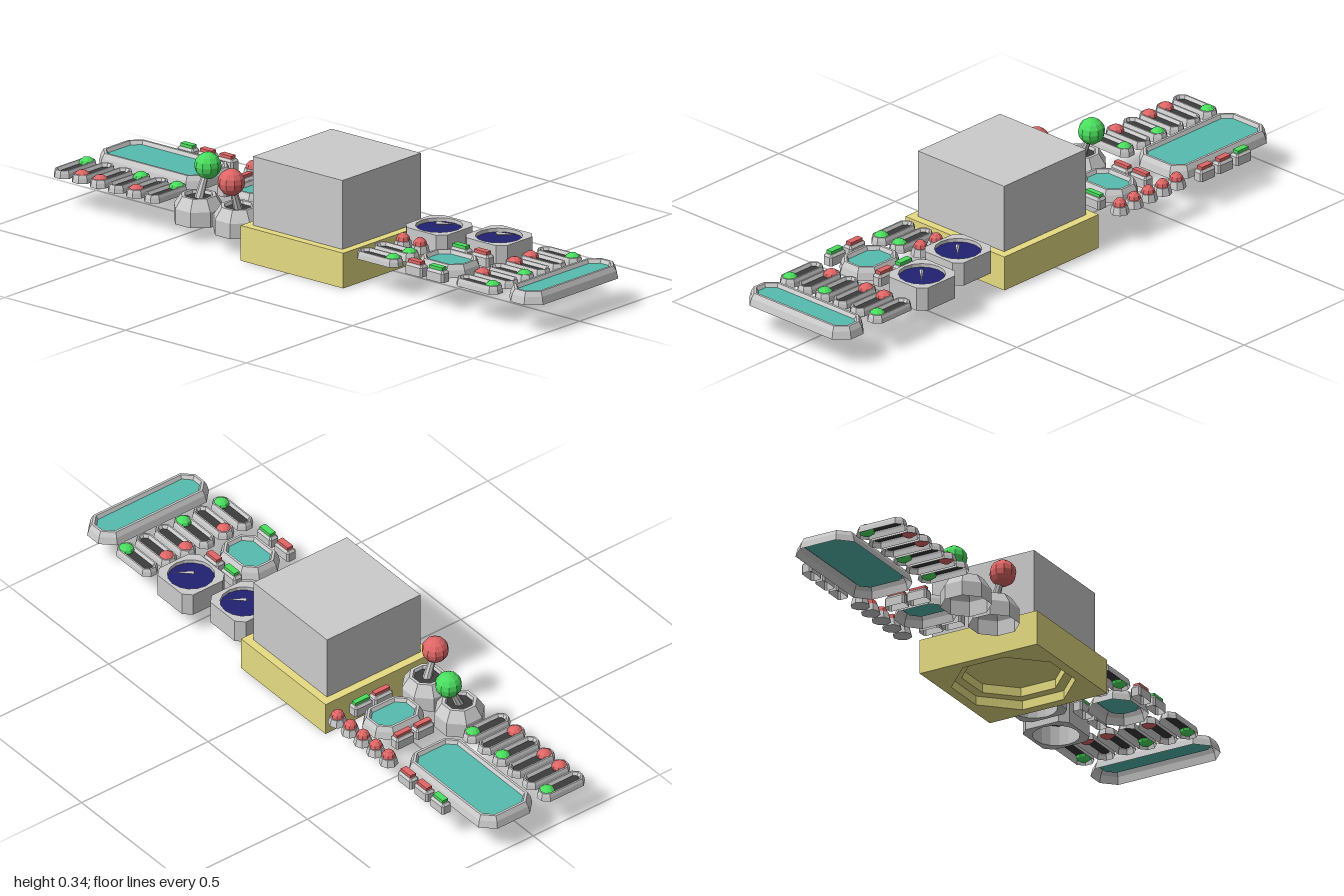
import * as THREE from 'three';

const mat = (color) => new THREE.MeshStandardMaterial({ color, flatShading: true, side: THREE.DoubleSide });
const GREY = mat(0xcccccc), YELLOW = mat(0xe6dc82), TEAL = mat(0x55bbae), NAVY = mat(0x202072),
  GREEN = mat(0x4ade5e), RED = mat(0xe06666), DARK = mat(0x3c3c3c);

function add(parent, name, geo, material, x = 0, y = 0, z = 0) {
  const m = new THREE.Mesh(geo, material);
  m.name = name;
  m.position.set(x, y, z);
  parent.add(m);
  return m;
}

function group(parent, name, x = 0, y = 0, z = 0) {
  const g = new THREE.Group();
  g.name = name;
  g.position.set(x, y, z);
  parent.add(g);
  return g;
}

// Corners of a rectangle with cut corners, counter-clockwise seen from above
function cutRect(w, d, c) {
  const a = w / 2, b = d / 2;
  return [[a, b - c], [a, c - b], [a - c, -b], [c - a, -b], [-a, c - b], [-a, b - c], [c - a, b], [a - c, b]];
}

// Skin a stack of cut-corner sections [inset, y]; optionally close the last one
function loft(w, d, c, sections, cap = false) {
  const rings = sections.map(([i, y]) =>
    cutRect(w - 2 * i, d - 2 * i, Math.max(c - i * 0.586, 0.002)).map(([x, z]) => [x, y, z]));
  const pos = [];
  const tri = (p, q, r) => pos.push(...p, ...q, ...r);
  for (let k = 0; k + 1 < rings.length; k++) {
    for (let j = 0; j < 8; j++) {
      const n = (j + 1) % 8, A = rings[k], B = rings[k + 1];
      tri(A[j], A[n], B[n]);
      tri(A[j], B[n], B[j]);
    }
  }
  if (cap) {
    const T = rings[rings.length - 1];
    for (let j = 1; j < 7; j++) tri(T[0], T[j], T[j + 1]);
  }
  const geo = new THREE.BufferGeometry();
  geo.setAttribute('position', new THREE.Float32BufferAttribute(pos, 3));
  geo.computeVertexNormals();
  return geo;
}

// Open bevelled frame around a recessed plate
function framedPanel(parent, name, x, z, w, d, c, y0, y1, bevel, rim, drop, color) {
  const g = group(parent, name, x, 0, z);
  const inner = bevel + rim + 0.006;
  add(g, 'frame', loft(w, d, c, [[0, y0], [bevel * 0.4, y0 + (y1 - y0) * 0.6], [bevel, y1], [bevel + rim, y1], [inner, y1 - drop]]), GREY);
  add(g, 'plate', loft(w, d, c, [[inner, y1 - drop]], true), color);
  return g;
}

const screen = (parent, x, z, w, d, y1 = 0.135) =>
  framedPanel(parent, 'screen', x, z, w, d, 0.042, 0.095, y1, 0.014, 0.008, 0.012, TEAL);

// Slot with a sliding knob; side is -1 or 1 along its length
function slider(parent, x, z, alongX, side, color) {
  const L = 0.172, W = 0.064;
  const g = framedPanel(parent, 'slider', x, z, alongX ? L : W, alongX ? W : L, 0.02, 0.1, 0.125, 0.006, 0.005, 0.01, DARK);
  const o = side * 0.054;
  const knob = add(g, 'sliderKnob', new THREE.SphereGeometry(0.026, 8, 6), color, alongX ? o : 0, 0.117, alongX ? 0 : o);
  knob.scale.y = 0.75;
}

function rectButton(parent, x, z, w, d, color) {
  const g = group(parent, 'rectButton', x, 0, z);
  add(g, 'buttonBase', loft(w, d, 0.006, [[0, 0.095], [0, 0.124], [0.006, 0.132]], true), GREY);
  add(g, 'buttonCap', new THREE.BoxGeometry(w - 0.02, 0.014, d - 0.014), color, 0, 0.135, 0);
}

function domeButton(parent, x, z) {
  const g = group(parent, 'domeButton', x, 0, z);
  add(g, 'buttonBase', new THREE.CylinderGeometry(0.025, 0.031, 0.025, 8), GREY, 0, 0.1125, 0);
  add(g, 'buttonDome', new THREE.SphereGeometry(0.022, 8, 6), RED, 0, 0.127, 0);
}

function joystick(parent, x, z, ballZ, color) {
  const g = group(parent, 'joystick', x, 0, z);
  add(g, 'joystickBase', loft(0.15, 0.15, 0.044,
    [[0, 0.05], [0, 0.1], [0.022, 0.137], [0.032, 0.137], [0.036, 0.127]]), GREY);
  add(g, 'joystickSocket', loft(0.15, 0.15, 0.044, [[0.036, 0.127]], true), DARK);
  const a = new THREE.Vector3(0, 0.122, 0), b = new THREE.Vector3(0, 0.22, ballZ - z);
  const stick = add(g, 'stick', new THREE.CylinderGeometry(0.009, 0.015, a.distanceTo(b), 8), GREY);
  stick.position.copy(a).lerp(b, 0.5);
  stick.quaternion.setFromUnitVectors(new THREE.Vector3(0, 1, 0), b.clone().sub(a).normalize());
  add(g, 'joystickBall', new THREE.SphereGeometry(0.043, 10, 8), color, b.x, b.y, b.z);
}

function gauge(parent, x, z) {
  const g = group(parent, 'gauge', x, 0, z);
  const shape = new THREE.Shape(cutRect(0.172, 0.168, 0.025).map(([a, b]) => new THREE.Vector2(a, b)));
  shape.holes.push(new THREE.Path().absarc(0, 0, 0.074, 0, Math.PI * 2, true));
  const body = new THREE.ExtrudeGeometry(shape, { depth: 0.078, bevelEnabled: false, curveSegments: 8 });
  add(g, 'gaugeBody', body.rotateX(-Math.PI / 2), GREY, 0, 0.072, 0);
  add(g, 'gaugeDial', new THREE.CircleGeometry(0.074, 16).rotateX(-Math.PI / 2), NAVY, 0, 0.138, 0);
  // Needle tapers from the hub to the rim
  const needle = new THREE.ConeGeometry(0.007, 0.07, 4).rotateX(-Math.PI / 2).translate(0, 0, -0.035);
  const n = add(g, 'gaugeNeedle', needle, GREY, -0.006, 0.157, 0.008);
  n.rotation.set(-0.08, -Math.PI / 4, 0, 'YXZ');
}

export function createModel() {
  const root = new THREE.Group();
  root.name = 'controlConsole';

  // Centre block on a base with a stepped octagonal recess underneath
  const centre = group(root, 'centreUnit', 0.0175, 0, 0.024);
  add(centre, 'centreBlock', new THREE.BoxGeometry(0.37, 0.225, 0.37), GREY, 0, 0.2275, 0);
  const outer = cutRect(0.425, 0.425, 0).map(([x, z]) => new THREE.Vector2(x, z));
  const plinth = new THREE.Shape([outer[0], outer[2], outer[4], outer[6]]);
  plinth.holes.push(new THREE.Path(cutRect(0.36, 0.36, 0.105).map(([x, z]) => new THREE.Vector2(x, z))));
  add(centre, 'base', new THREE.ExtrudeGeometry(plinth, { depth: 0.115, bevelEnabled: false }).rotateX(-Math.PI / 2), YELLOW);
  add(centre, 'baseRecess', loft(0.36, 0.36, 0.105, [[0, 0.03], [0.03, 0.03], [0.03, 0.06]], true), YELLOW);

  // Left-hand bank in plan: large screen, slots, buttons, joysticks
  const west = group(root, 'rightBank');
  screen(west, -0.781, -0.077, 0.437, 0.213);
  [1, 0, 0, 1, 0, 1].forEach((up, i) =>
    slider(west, -0.967 + i * 0.0747, 0.135, false, up ? -1 : 1, up ? GREEN : RED));
  [GREEN, RED, RED].forEach((c, i) => rectButton(west, -0.807 + i * 0.081, -0.215, 0.068, 0.036, c));
  for (let i = 0; i < 5; i++) domeButton(west, -0.531 + i * 0.064, -0.203);
  screen(west, -0.372, -0.061, 0.15, 0.195);
  [[-0.475, RED, RED], [-0.266, GREEN, RED]].forEach(([x, a, b]) => {
    rectButton(west, x, -0.104, 0.038, 0.072, a);
    rectButton(west, x, -0.025, 0.038, 0.072, b);
  });
  joystick(west, -0.457, 0.135, 0.092, GREEN);
  joystick(west, -0.291, 0.137, 0.17, RED);

  // Opposite bank: gauges, slots, screens and buttons
  const east = group(root, 'leftBank');
  gauge(east, 0.338, -0.093);
  gauge(east, 0.547, -0.137);
  [0.302, 0.372].forEach((x) => domeButton(east, x, 0.036));
  [0.108, 0.185].forEach((z) => slider(east, 0.338, z, true, 1, GREEN));
  screen(east, 0.543, 0.09, 0.193, 0.157);
  [[-0.013, GREEN, RED], [0.198, RED, GREEN]].forEach(([z, a, b]) => {
    rectButton(east, 0.5, z, 0.072, 0.036, a);
    rectButton(east, 0.588, z, 0.072, 0.036, b);
  });
  [1, 0, 0, 1, 0, 1].forEach((r, i) =>
    slider(east, 0.75, -0.191 + i * 0.0752, true, r ? 1 : -1, r ? GREEN : RED));
  screen(east, 0.93, -0.006, 0.14, 0.438);

  return root;
}
